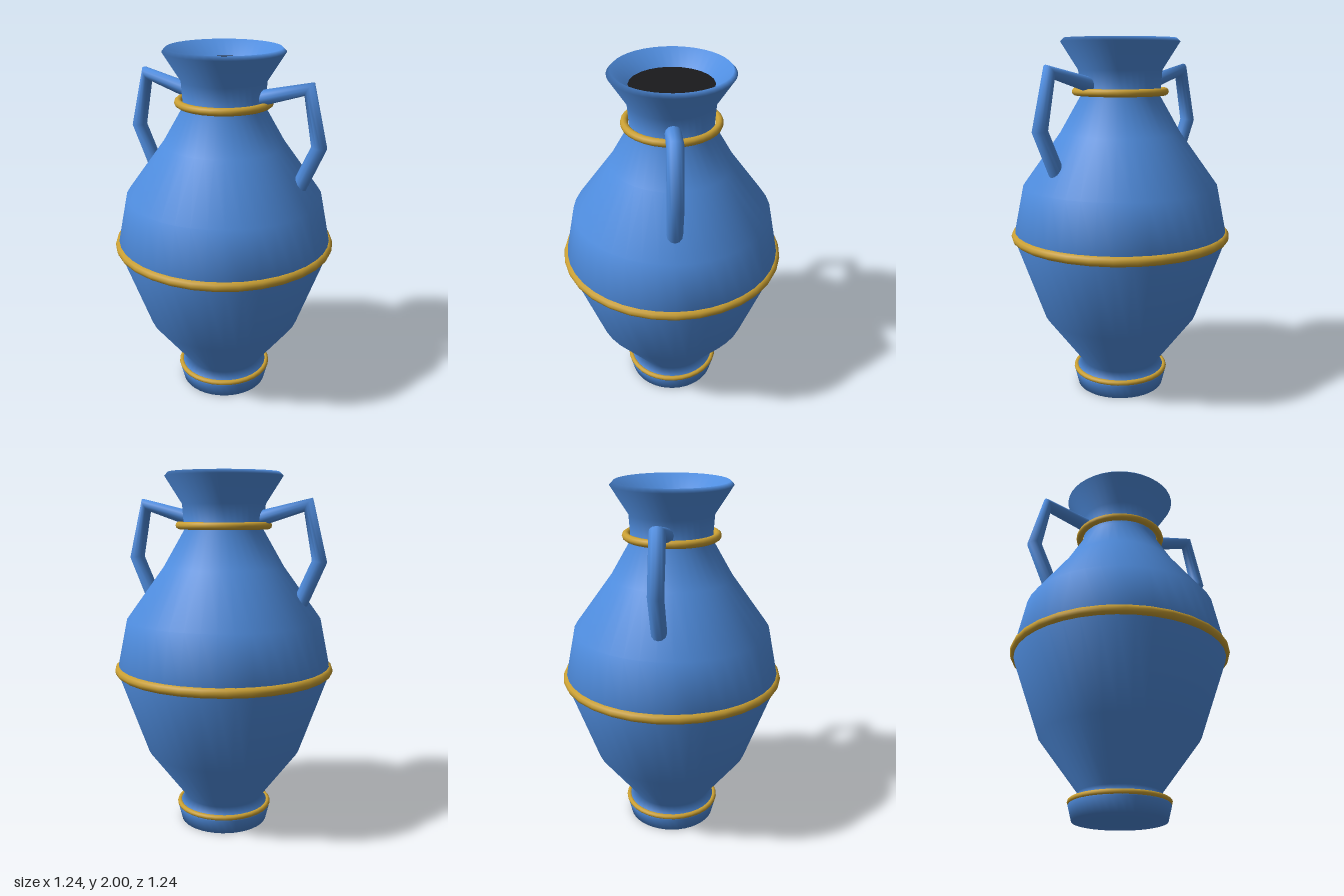
import * as THREE from 'three';

const blue = new THREE.MeshStandardMaterial({ color: 0x4f8ddf, side: THREE.DoubleSide });
const gold = new THREE.MeshStandardMaterial({ color: 0xc99f33 });
const dark = new THREE.MeshStandardMaterial({ color: 0x1a1a1c });

function addMesh(parent, name, geometry, material) {
  const mesh = new THREE.Mesh(geometry, material);
  mesh.name = name;
  parent.add(mesh);
  return mesh;
}

// Angular tube in the xy plane: one ring per path point, set across the mean direction
function bentTube(path, radius, sides) {
  const pts = path.map(([x, y]) => new THREE.Vector2(x, y));
  const dir = (i) => pts[i + 1].clone().sub(pts[i]).normalize();
  const last = pts.length - 1;
  const positions = [];
  const index = [];
  pts.forEach((p, i) => {
    const t = dir(Math.max(i - 1, 0)).add(dir(Math.min(i, last - 1))).normalize();
    for (let j = 0; j < sides; j++) {
      const a = (j / sides) * Math.PI * 2;
      const c = Math.cos(a) * radius;
      positions.push(p.x - t.y * c, p.y + t.x * c, Math.sin(a) * radius);
      if (i < last) {
        const k = (j + 1) % sides;
        const a0 = i * sides + j, a1 = i * sides + k;
        index.push(a0, a1, a0 + sides, a1, a1 + sides, a0 + sides);
      }
    }
  });
  const geometry = new THREE.BufferGeometry();
  geometry.setAttribute('position', new THREE.Float32BufferAttribute(positions, 3));
  geometry.setIndex(index);
  geometry.computeVertexNormals();
  return geometry;
}

export function createModel() {
  const vase = new THREE.Group();
  vase.name = 'vase';

  // Body: foot, belly, shoulder, neck, flared rim and inner lip
  const profile = [
    [0, 0], [0.25, 0], [0.27, 0.08], [0.26, 0.1], [0.22, 0.145],
    [0.44, 0.44], [0.605, 0.91], [0.545, 1.2], [0.335, 1.49],
    [0.22, 1.69], [0.23, 1.83], [0.325, 1.98], [0.305, 2], [0.21, 1.91],
  ].map(([x, y]) => new THREE.Vector2(x, y));
  addMesh(vase, 'body', new THREE.LatheGeometry(profile, 40), blue);

  // Dark opening
  const opening = addMesh(vase, 'opening', new THREE.CircleGeometry(0.22, 24), dark);
  opening.rotation.x = -Math.PI / 2;
  opening.position.y = 1.92;

  // Gold bands: name, height, ring radius, tube radius
  for (const [name, y, radius, tube] of [
    ['footBand', 0.098, 0.26, 0.015],
    ['bellyBand', 0.915, 0.592, 0.028],
    ['neckBand', 1.715, 0.246, 0.021],
  ]) {
    const band = addMesh(vase, name, new THREE.TorusGeometry(radius, tube, 10, 32), gold);
    band.rotation.x = Math.PI / 2;
    band.position.y = y;
  }

  // Angular handles from neck to shoulder
  const handle = bentTube([[0.2, 1.75], [0.478, 1.825], [0.544, 1.53], [0.425, 1.26]], 0.042, 12);
  addMesh(vase, 'leftHandle', handle, blue);
  addMesh(vase, 'rightHandle', handle, blue).rotation.y = Math.PI;

  return vase;
}
